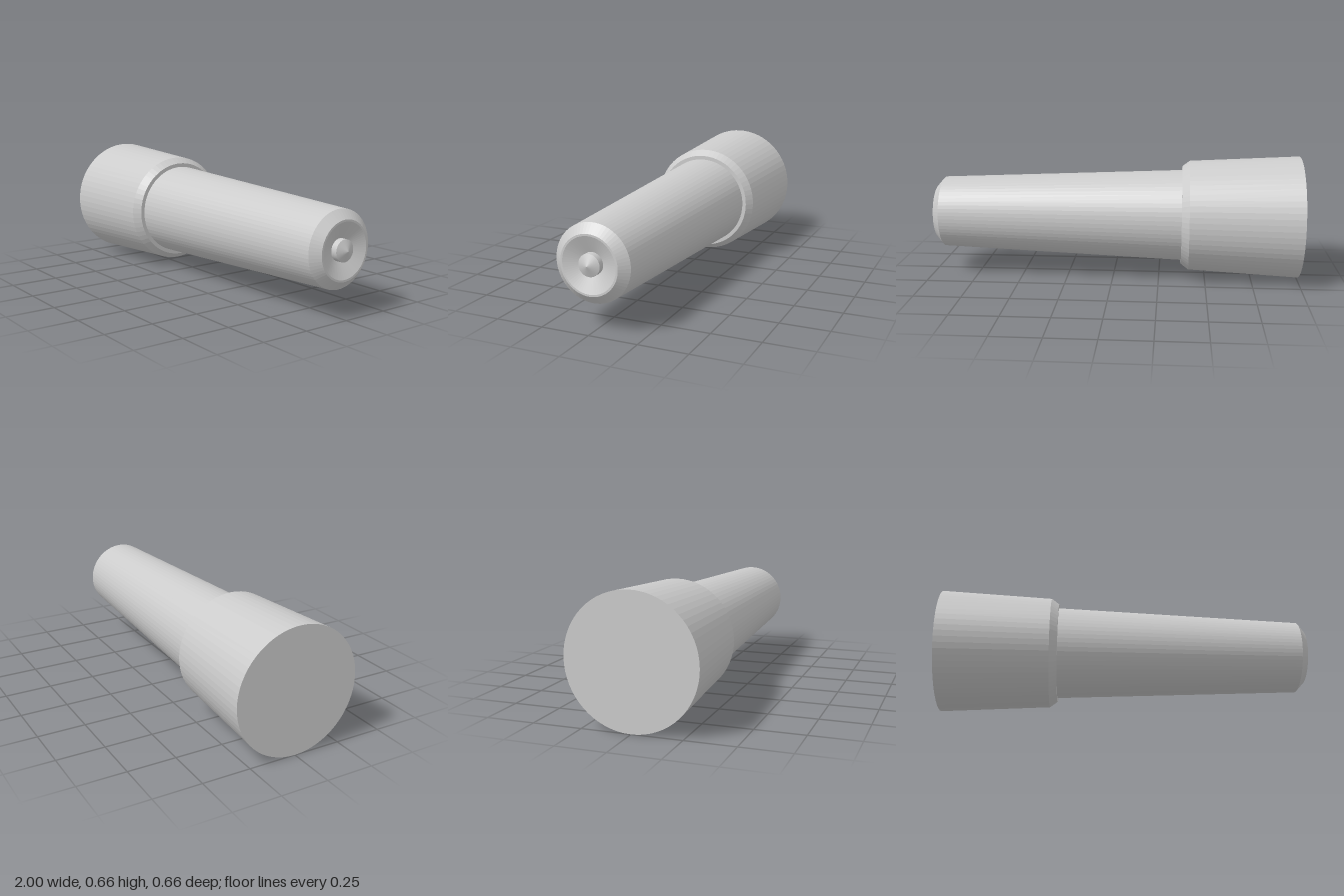
import * as THREE from 'three';

const SEGMENTS = 64;
const RADIUS = 0.329;

export function createModel() {
  const group = new THREE.Group();
  const material = new THREE.MeshStandardMaterial({ color: 0xcccccc, flatShading: true });

  // Turns a profile of [x, radius] pairs about the long x axis
  const turned = (name, profile) => {
    const points = profile.map(([x, r]) => new THREE.Vector2(r, x));
    const mesh = new THREE.Mesh(new THREE.LatheGeometry(points, SEGMENTS), material);
    mesh.name = name;
    mesh.rotation.z = -Math.PI / 2;
    mesh.position.y = RADIUS;
    group.add(mesh);
  };

  // Wide tapered collar with flat back, chamfered front edge and flat step
  turned('collar', [[-1, 0], [-1, RADIUS], [-0.41, 0.298], [-0.37, 0.268], [-0.37, 0.247]]);

  // Slim tapered shank, chamfered end, narrow rim and shallow dished face
  turned('shank', [[-0.37, 0.247], [0.94, 0.193], [0.98, 0.148], [0.98, 0.138], [0.945, 0.055]]);

  // Centre pin with a conical point
  turned('centrePin', [[0.945, 0.055], [0.977, 0.055], [1, 0]]);

  return group;
}
